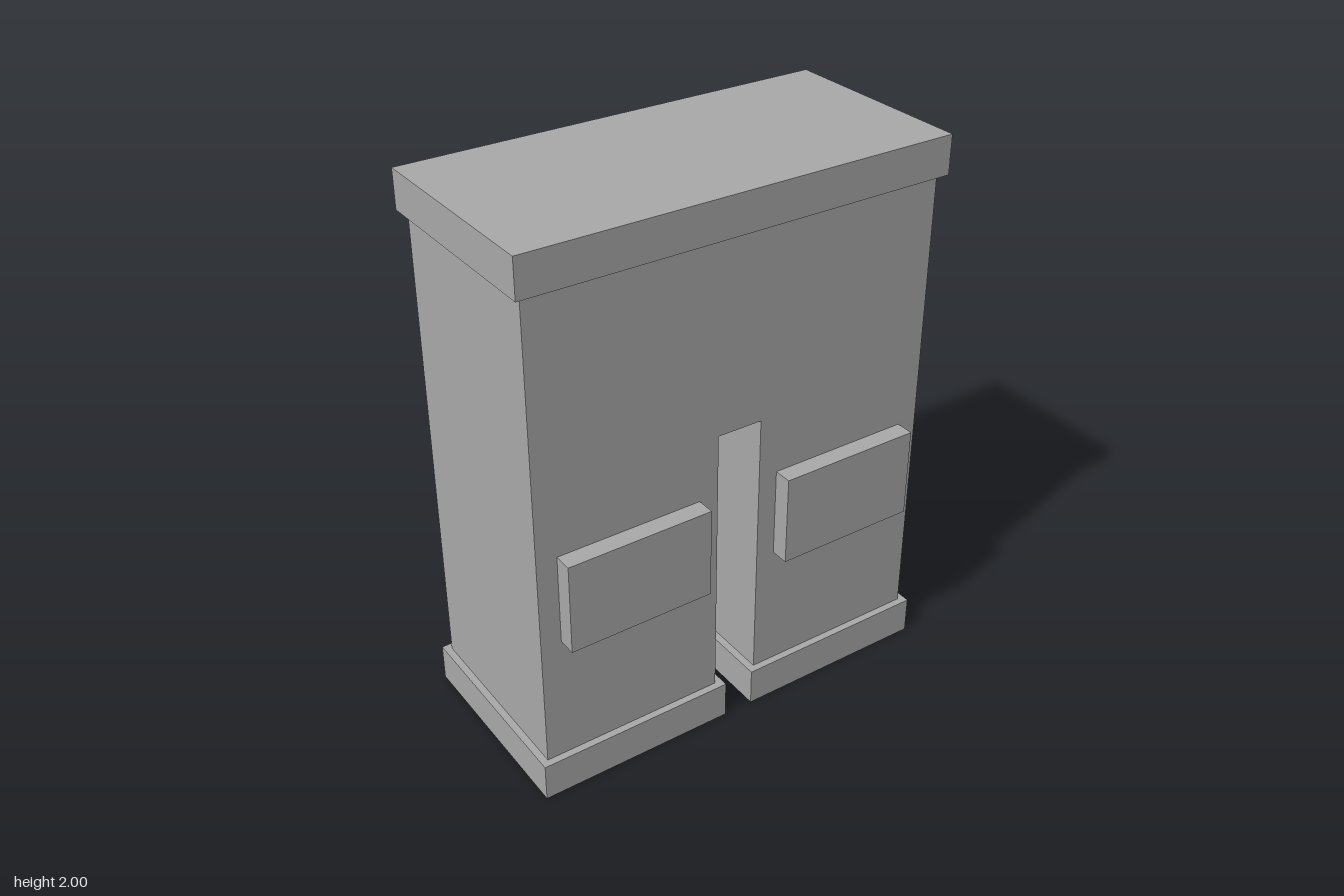
import * as THREE from 'three';

const Z_MID = -0.02;

export function createModel() {
  const group = new THREE.Group();
  const grey = new THREE.MeshStandardMaterial({ color: 0xaaaaaa });
  grey.name = 'grey';

  const add = (name, geometry, x, y, z) => {
    const mesh = new THREE.Mesh(geometry, grey);
    mesh.name = name;
    mesh.position.set(x, y, z);
    group.add(mesh);
  };

  // Both legs and hips in one upright slab, with a slot between the legs
  const outline = new THREE.Shape([
    [-0.765, 0.14], [-0.084, 0.14], [-0.084, 1.168], [0.084, 1.168],
    [0.084, 0.14], [0.765, 0.14], [0.765, 1.862], [-0.765, 1.862],
  ].map(([x, y]) => new THREE.Vector2(x, y)));
  const depth = 0.694;
  add('legs', new THREE.ExtrudeGeometry(outline, { depth, bevelEnabled: false }), 0, 0, Z_MID - depth / 2);

  // Waistband
  add('waistband', new THREE.BoxGeometry(1.582, 0.138, 0.747), 0, 1.931, Z_MID);

  // Cuff and knee patch on each leg
  for (const [side, s] of [['left', 1], ['right', -1]]) {
    add(side + 'Cuff', new THREE.BoxGeometry(0.735, 0.14, 0.747), s * 0.4235, 0.07, Z_MID);
    add(side + 'KneePatch', new THREE.BoxGeometry(0.535, 0.333, 0.068), s * 0.423, 0.7785, 0.36);
  }
  return group;
}
